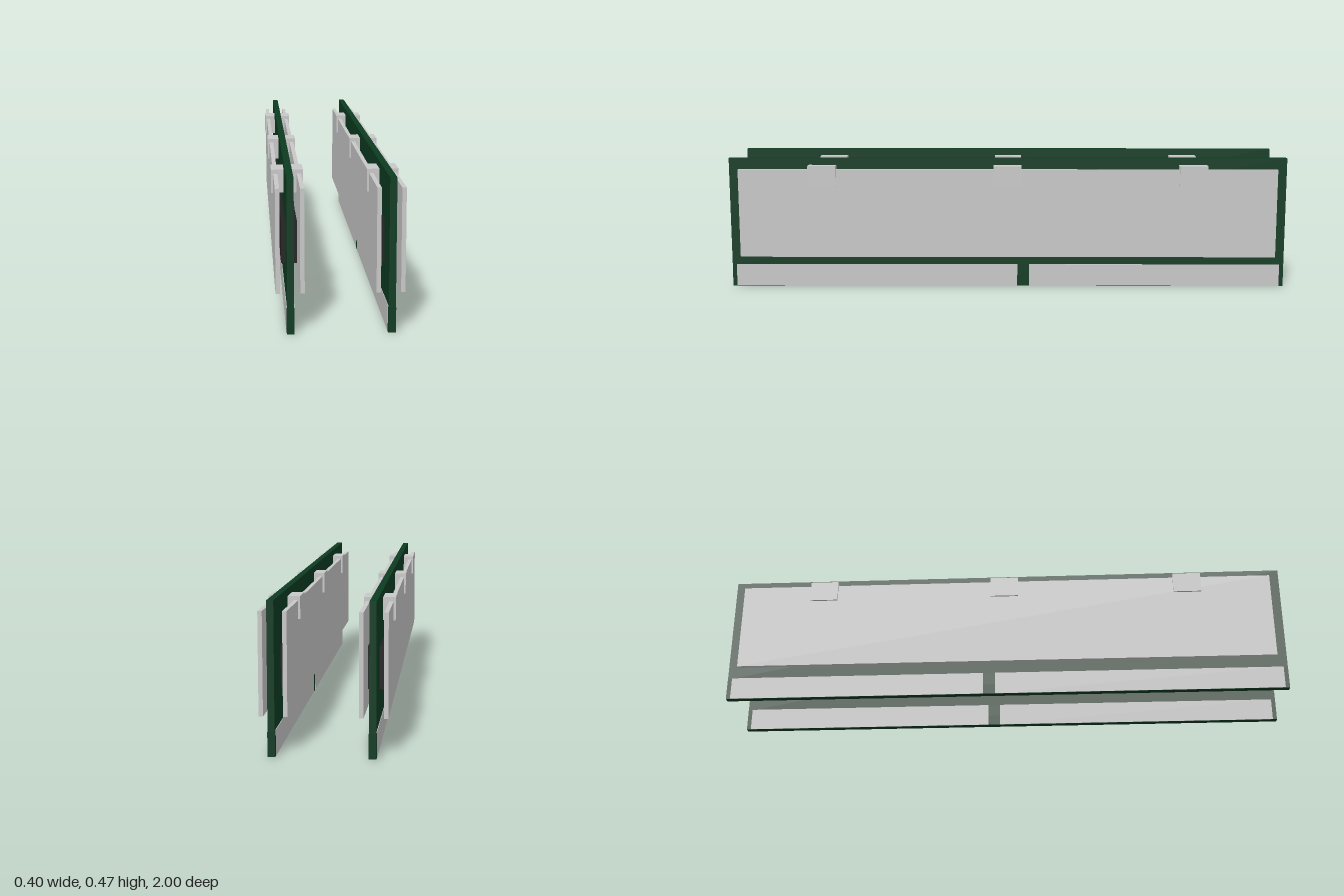
import * as THREE from 'three';

export function createModel() {
  const green = new THREE.MeshStandardMaterial({ color: 0x0d3b22 });
  green.name = 'board green';
  const silver = new THREE.MeshStandardMaterial({ color: 0xc8c8c8 });
  silver.name = 'silver grey';
  const black = new THREE.MeshStandardMaterial({ color: 0x222222 });
  black.name = 'chip black';

  // Box given by its limits along each axis
  function box(parent, name, material, [x0, x1], [y0, y1], [z0, z1]) {
    const mesh = new THREE.Mesh(new THREE.BoxGeometry(x1 - x0, y1 - y0, z1 - z0), material);
    mesh.position.set((x0 + x1) / 2, (y0 + y1) / 2, (z0 + z1) / 2);
    mesh.name = name;
    parent.add(mesh);
  }

  function createModule() {
    const module = new THREE.Group();

    // Circuit board with a slightly thicker connector edge
    box(module, 'circuitBoard', green, [-0.0105, 0.0105], [0.076, 0.467], [-1, 1]);
    box(module, 'connectorEdge', green, [-0.0115, 0.0115], [0, 0.076], [-1, 1]);

    for (const side of [-1, 1]) {
      const span = (a, b) => (side > 0 ? [a, b] : [-b, -a]);

      // Contact strips either side of the key notch
      box(module, 'contactStrip', silver, span(0.0105, 0.0121), [0.0005, 0.08], [-0.035, 0.985]);
      box(module, 'contactStrip', silver, span(0.0105, 0.0121), [0.0005, 0.08], [-0.985, -0.078]);

      // Row of nine memory chips
      for (let i = -4; i <= 4; i++) {
        const z = i * 0.198;
        box(module, 'memoryChip', black, span(0.0105, 0.024), [0.183, 0.315], [z - 0.077, z + 0.077]);
      }

      // Heat spreader plate
      box(module, 'heatSpreader', silver, span(0.03, 0.0433), [0.113, 0.43], [-0.962, 0.962]);
    }

    // Small controller chip on one face
    box(module, 'controllerChip', black, [0.0105, 0.0195], [0.355, 0.4], [-0.045, 0.045]);

    // Clips holding the spreaders together
    for (const z of [-0.663, 0, 0.663]) {
      box(module, 'spreaderClip', silver, [-0.05, 0.05], [0.37, 0.443], [z - 0.05, z + 0.05]);
    }
    return module;
  }

  // Matching pair of modules
  const model = new THREE.Group();
  model.name = 'memoryModules';
  for (const [name, x] of [['rightModule', -0.15], ['leftModule', 0.15]]) {
    const module = createModule();
    module.name = name;
    module.position.x = x;
    model.add(module);
  }
  return model;
}
